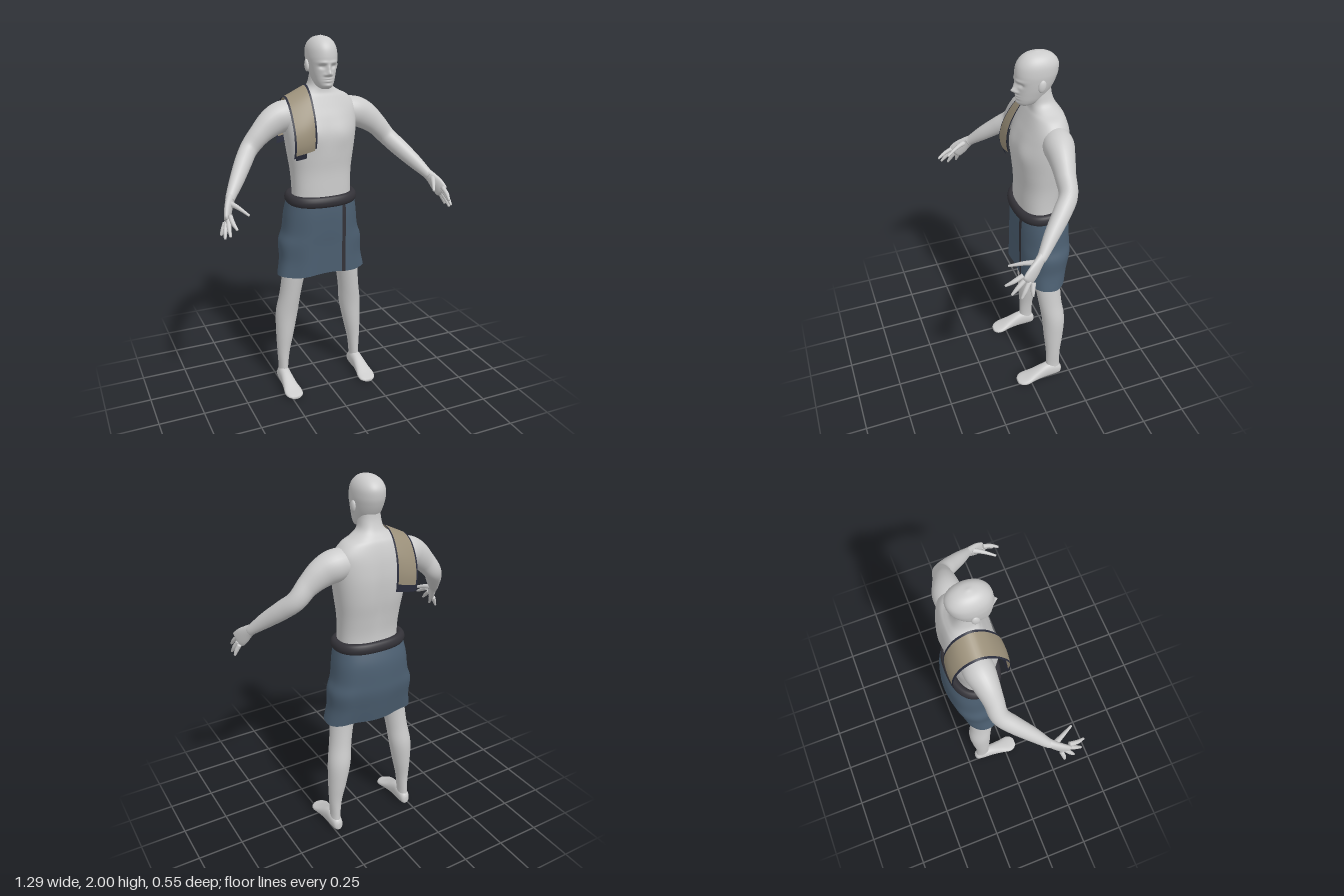
import * as THREE from 'three';
import { mergeVertices } from 'three/addons/utils/BufferGeometryUtils.js';

const mat = (name, color, side = THREE.FrontSide) => {
  const m = new THREE.MeshStandardMaterial({ color, side });
  m.name = name;
  return m;
};
const V = (x, y, z) => new THREE.Vector3(x, y, z);
const X = V(1, 0, 0), Y = V(0, 1, 0), Z = V(0, 0, 1);
const bump = (d, w) => Math.exp(-((d / w) ** 2));
const sgnPow = (v, e) => Math.sign(v) * Math.abs(v) ** e;

// Grid surface from a function of (u, v), both 0..1
function sheet(fn, nu, nv) {
  const pos = [], idx = [];
  for (let j = 0; j <= nv; j++)
    for (let i = 0; i <= nu; i++) pos.push(...fn(i / nu, j / nv).toArray());
  for (let j = 0; j < nv; j++)
    for (let i = 0; i < nu; i++) {
      const a = j * (nu + 1) + i, b = a + 1, d = a + nu + 1, c = d + 1;
      idx.push(a, b, c, a, c, d);
    }
  let g = new THREE.BufferGeometry();
  g.setAttribute('position', new THREE.Float32BufferAttribute(pos, 3));
  g.setIndex(idx);
  g = mergeVertices(g, 1e-5);
  g.computeVertexNormals();
  return g;
}

// Skin through smooth oval sections [x, y, z, half width, half depth]; returns point(t, angle)
function loftPoint(keys, { axis = null, ref = Z, n = 2, warp = null } = {}) {
  const path = new THREE.CatmullRomCurve3(keys.map(k => V(k[0], k[1], k[2])), false, 'catmullrom');
  const size = new THREE.CatmullRomCurve3(keys.map(k => V(k[3], k[4], 0)), false, 'catmullrom');
  return (t, a, k = 1) => {
    const c = path.getPoint(t), r = size.getPoint(t);
    const T = axis ? axis.clone() : path.getTangent(t);
    const u = ref.clone().cross(T).normalize(), v = T.clone().cross(u);
    const p = c.addScaledVector(u, k * r.x * sgnPow(Math.cos(a), 2 / n))
      .addScaledVector(v, k * r.y * sgnPow(Math.sin(a), 2 / n));
    if (warp) warp(p, t, a);
    return p;
  };
}
function loft(keys, opts = {}, nu = 24, nv = 32) {
  const pt = loftPoint(keys, opts);
  // the first and last rows close the ends
  return sheet((u, v) => {
    const j = Math.round(v * (nv + 2));
    const t = THREE.MathUtils.clamp((j - 1) / nv, 0, 1);
    return pt(t, u * Math.PI * 2, j === 0 || j === nv + 2 ? 0 : 1);
  }, nu, nv + 2);
}
// Rows of [y, half width, front z, back z]
const rows = list => list.map(([y, w, f, b]) => [0, y, (f + b) / 2, w, (f - b) / 2]);

export function createModel() {
  const group = new THREE.Group();
  const skin = mat('pale grey skin', 0xcccccc);
  const cloth = mat('slate blue cloth', 0x4b5e70, THREE.DoubleSide);
  const dark = mat('charcoal band', 0x333238, THREE.DoubleSide);
  const tan = mat('tan towel', 0x9b907a, THREE.DoubleSide);
  const navy = mat('dark navy trim', 0x2b2e3d, THREE.DoubleSide);
  const add = (name, geo, m) => {
    const mesh = new THREE.Mesh(geo, m);
    mesh.name = name;
    group.add(mesh);
    return mesh;
  };

  // Torso and neck, with a soft chest and spine groove
  add('torso', loft(rows([
    [1.0, .17, 0, -.22], [1.1, .167, 0, -.215], [1.2, .165, 0, -.215], [1.3, .17, 0, -.23],
    [1.4, .184, .008, -.248], [1.5, .198, .008, -.255], [1.58, .205, -.012, -.25],
    [1.64, .2, -.035, -.24], [1.69, .16, -.055, -.225], [1.715, .11, -.065, -.21],
    [1.745, .068, -.068, -.19], [1.79, .055, -.066, -.175], [1.84, .05, -.066, -.17],
  ]), {
    axis: Y, n: 2.4, warp: (p, t, a) => {
      const s = Math.sin(a);
      if (s > 0) p.z += s * .01 * bump(Math.abs(p.x) - .09, .06) * bump(p.y - 1.5, .07);
      else p.z -= s * .012 * bump(p.x, .03) * bump(p.y - 1.4, .2);
    },
  }, 56, 60), skin);

  // Head, with brow, eye sockets, nose and lips raised from the face
  add('head', loft(rows([
    [1.737, .022, -.02, -.06], [1.748, .038, -.006, -.1], [1.77, .051, 0, -.135],
    [1.8, .061, .001, -.158], [1.83, .069, .002, -.178], [1.865, .075, .006, -.195],
    [1.9, .078, .008, -.206], [1.94, .074, 0, -.207], [1.97, .06, -.02, -.188],
    [1.99, .037, -.05, -.155], [2.0, .004, -.095, -.107],
  ]), {
    axis: Y, n: 2.15, warp: (p, t, a) => {
      const s = Math.sin(a), x = Math.abs(p.x), y = p.y;
      if (s <= 0) return;
      p.z += s * (.026 * bump(x, .012) * bump(y - 1.818, .014) + .013 * bump(x, .01) * bump(y - 1.842, .02)
        + .008 * bump(x - .016, .009) * bump(y - 1.812, .008)
        - .013 * bump(x - .032, .016) * bump(y - 1.852, .011) + .006 * bump(x - .03, .03) * bump(y - 1.872, .009)
        + .007 * bump(x, .022) * (bump(y - 1.792, .005) + bump(y - 1.779, .006)) + .006 * bump(x, .022) * bump(y - 1.757, .01));
    },
  }, 96, 90), skin);

  for (const [side, s] of [['left', 1], ['right', -1]]) {
    const m = keys => keys.map(([x, ...r]) => [x * s, ...r]);

    const ear = new THREE.SphereGeometry(1, 16, 12).scale(.011, .031, .02);
    ear.rotateX(-.2).translate(s * .079, 1.852, -.1);
    add(side + 'Ear', ear, skin);

    // Arm from shoulder to wrist
    add(side + 'Arm', loft(m([
      [.11, 1.6, -.147, .065, .07], [.2, 1.592, -.14, .076, .082], [.27, 1.563, -.13, .064, .075],
      [.34, 1.508, -.12, .051, .058], [.4, 1.442, -.112, .046, .05], [.45, 1.385, -.06, .044, .048],
      [.51, 1.315, .015, .036, .04], [.56, 1.255, .075, .025, .028], [.57, 1.24, .092, .022, .028],
    ]), { ref: Y }, 28, 48), skin);

    // Palm and fingers
    add(side + 'Palm', loft(m([
      [.555, 1.26, .07, .022, .026], [.575, 1.235, .1, .02, .032], [.593, 1.202, .133, .018, .042],
      [.606, 1.172, .162, .015, .042], [.61, 1.162, .172, .008, .03],
    ]), { ref: Y }, 20, 16), skin);
    const fingers = [
      ['index', [.597, 1.196, .187], [.597, 1.173, .232], [.588, 1.15, .272]],
      ['middle', [.604, 1.18, .175], [.613, 1.145, .217], [.617, 1.112, .25]],
      ['ring', [.609, 1.162, .16], [.625, 1.122, .187], [.633, 1.088, .207]],
      ['little', [.612, 1.15, .142], [.628, 1.117, .15], [.639, 1.09, .153]],
      ['thumb', [.578, 1.235, .108], [.55, 1.225, .165], [.515, 1.2, .23]],
    ];
    for (const [name, a, b, c] of fingers) {
      const w = name === 'thumb' ? .004 : 0;
      add(`${side}${name[0].toUpperCase()}${name.slice(1)}Finger`, loft(m([
        [...a, .012 + w, .012 + w], [...b, .011, .011], [...c, .006, .006],
      ]), { ref: Y }, 10, 10), skin);
    }

    // Leg and bare foot
    add(side + 'Leg', loft(m([
      [.1, 1.0, -.12, .085, .1], [.135, .82, -.12, .076, .085], [.163, .7, -.122, .064, .073],
      [.183, .57, -.134, .06, .066], [.2, .45, -.15, .063, .065], [.214, .32, -.15, .051, .056],
      [.226, .2, -.147, .036, .043], [.23, .1, -.147, .027, .041], [.232, .035, -.148, .03, .042],
    ]), { axis: V(0, -1, 0) }, 28, 48), skin);
    add(side + 'Foot', loft(m([
      [.23, .032, -.2, .012, .02], [.231, .038, -.185, .027, .036], [.232, .05, -.135, .034, .05],
      [.233, .046, -.085, .035, .046], [.233, .032, -.025, .042, .031], [.232, .02, .025, .051, .019],
      [.23, .014, .058, .044, .013], [.23, .011, .078, .022, .009],
    ]), { axis: Z, ref: Y, n: 2.3 }, 24, 32), skin);
  }

  // Wrapped skirt with gentle folds and an uneven hem
  const n = 2.4;
  const skirtAt = loftPoint([
    [0, 1.15, -.115, .188, .125], [0, 1.06, -.127, .205, .142], [0, .96, -.131, .217, .145],
    [0, .89, -.132, .24, .143], [0, .8, -.124, .24, .134], [0, .715, -.115, .257, .124],
  ], {
    axis: V(0, -1, 0), n, warp: (p, t, a) => {
      p.z += .005 * t * Math.sin(a) * Math.sin(a * 7);
      p.y += t ** 5 * (.016 * Math.sin(a) ** 2 - .012 + .004 * Math.sin(a * 5));
    },
  });
  add('skirt', sheet((u, v) => skirtAt(v, u * Math.PI * 2), 80, 32), cloth);

  // Dark edging down the front overlap
  add('skirtEdging', sheet((u, v) => {
    const x = .077 + .022 * u;
    const p = skirtAt(v, Math.acos((x / skirtAt(v, 0).x) ** (n / 2)));
    p.z += .005;
    return p;
  }, 4, 32), dark);

  // Rolled waistband
  add('waistband', sheet((u, v) => {
    const a = -u * Math.PI * 2, b = v * Math.PI * 2, c = Math.cos(b);
    const z = sgnPow(Math.sin(a), 2 / n);
    return V(sgnPow(Math.cos(a), 2 / n) * (.178 + .023 * c), 1.143 - .006 * z + .031 * Math.sin(b),
      -.115 + z * (.121 + .023 * c));
  }, 72, 14), dark);

  // Towel laid over the right shoulder, front hem to back hem
  const drape = new THREE.CatmullRomCurve3([
    V(0, 1.39, .012), V(0, 1.46, .03), V(0, 1.54, .022), V(0, 1.62, -.015), V(0, 1.69, -.07),
    V(0, 1.722, -.13), V(0, 1.695, -.2), V(0, 1.62, -.25), V(0, 1.53, -.272), V(0, 1.43, -.268),
  ]);
  const towelAt = (s, t) => {
    const p = drape.getPointAt(t), d = s - .5;
    p.x = -.197 + .124 * s;
    p.y += d * (.02 + .04 * Math.sin(Math.PI * t));
    p.z -= Math.sign(p.z + .12) * .03 * d * d * Math.abs(Math.cos(Math.PI * t));
    return p;
  };
  const towelPart = (name, s0, s1, t0, t1, m) =>
    add(name, sheet((u, v) => towelAt(s0 + (s1 - s0) * u, t0 + (t1 - t0) * v), 10, 44), m);
  towelPart('towel', .08, .92, .04, .95, tan);
  towelPart('towelOuterTrim', 0, .08, .02, 1, navy);
  towelPart('towelInnerTrim', .92, 1, .05, 1, navy);
  towelPart('towelFrontHem', .08, .55, 0, .04, navy);
  towelPart('towelBackHem', .08, .92, .95, 1, navy);

  return group;
}
